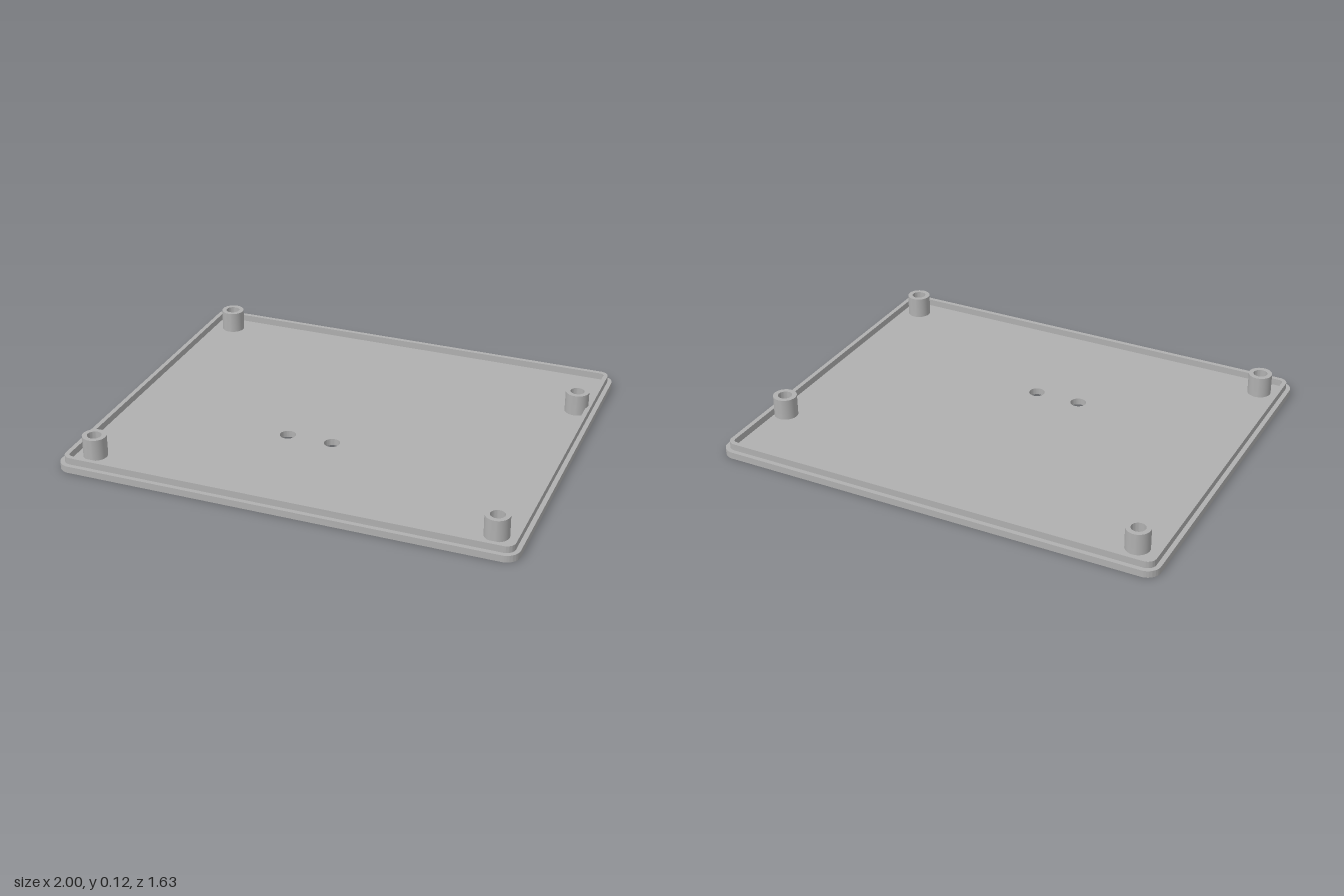
import * as THREE from 'three';
import { toCreasedNormals } from 'three/addons/utils/BufferGeometryUtils.js';

const W = 2, D = 1.635, FLOOR = 0.03, LIP = 0.06, TOP = 0.125;
const SINK_R = 0.06, BOSS_R = 0.052, BORE_R = 0.031, HOLE_R = 0.035;

// [x, z] centres
const bosses = [[-0.87, -0.685], [0.915, -0.44], [-0.88, 0.685], [0.882, 0.685]];
const cableHoles = [[-0.192, 0.23], [0.013, 0.23]];

// Rounded rectangle, pulled in from the plate edge by inset
function outline(target, inset, r) {
  const x = W / 2 - inset, y = D / 2 - inset;
  target.moveTo(-x + r, -y);
  target.lineTo(x - r, -y).absarc(x - r, -y + r, r, -Math.PI / 2, 0, false);
  target.lineTo(x, y - r).absarc(x - r, y - r, r, 0, Math.PI / 2, false);
  target.lineTo(-x + r, y).absarc(-x + r, y - r, r, Math.PI / 2, Math.PI, false);
  target.lineTo(-x, -y + r).absarc(-x + r, -y + r, r, Math.PI, Math.PI * 1.5, false);
  return target;
}

function circle(x, z, r) {
  const path = new THREE.Path();
  path.absarc(x, -z, r, 0, Math.PI * 2, true);
  return path;
}

// Extrude a plan shape upward from height y
function slab(shape, y, height) {
  const geo = new THREE.ExtrudeGeometry(shape, { depth: height, bevelEnabled: false, curveSegments: 20 });
  geo.rotateX(-Math.PI / 2).translate(0, y, 0);
  return toCreasedNormals(geo, 0.6);
}

export function createModel() {
  const group = new THREE.Group();
  const grey = new THREE.MeshStandardMaterial({ color: 0xb0b0b0 });
  grey.name = 'grey plastic';

  const add = (name, geo) => {
    const mesh = new THREE.Mesh(geo, grey);
    mesh.name = name;
    group.add(mesh);
    return mesh;
  };

  // Base plate with cable holes and openings for the screws
  const plate = outline(new THREE.Shape(), 0, 0.06);
  for (const [x, z] of cableHoles) plate.holes.push(circle(x, z, HOLE_R));
  for (const [x, z] of bosses) plate.holes.push(circle(x, z, SINK_R));
  add('basePlate', slab(plate, 0, FLOOR));

  // Raised locating lip set in from the edge
  const lip = outline(new THREE.Shape(), 0.02, 0.04);
  lip.holes.push(outline(new THREE.Path(), 0.04, 0.02));
  add('lip', slab(lip, FLOOR, LIP - FLOOR));

  // Hollow screw bosses, countersunk from below
  const profile = [
    [SINK_R, FLOOR], [BOSS_R, FLOOR], [BOSS_R, TOP],
    [BORE_R, TOP], [BORE_R, FLOOR], [SINK_R, 0],
  ].map(([r, y]) => new THREE.Vector2(r, y));
  const bossGeo = toCreasedNormals(new THREE.LatheGeometry(profile, 40), 0.6);
  bosses.forEach(([x, z], i) => add('screwBoss' + (i + 1), bossGeo).position.set(x, 0, z));

  return group;
}
